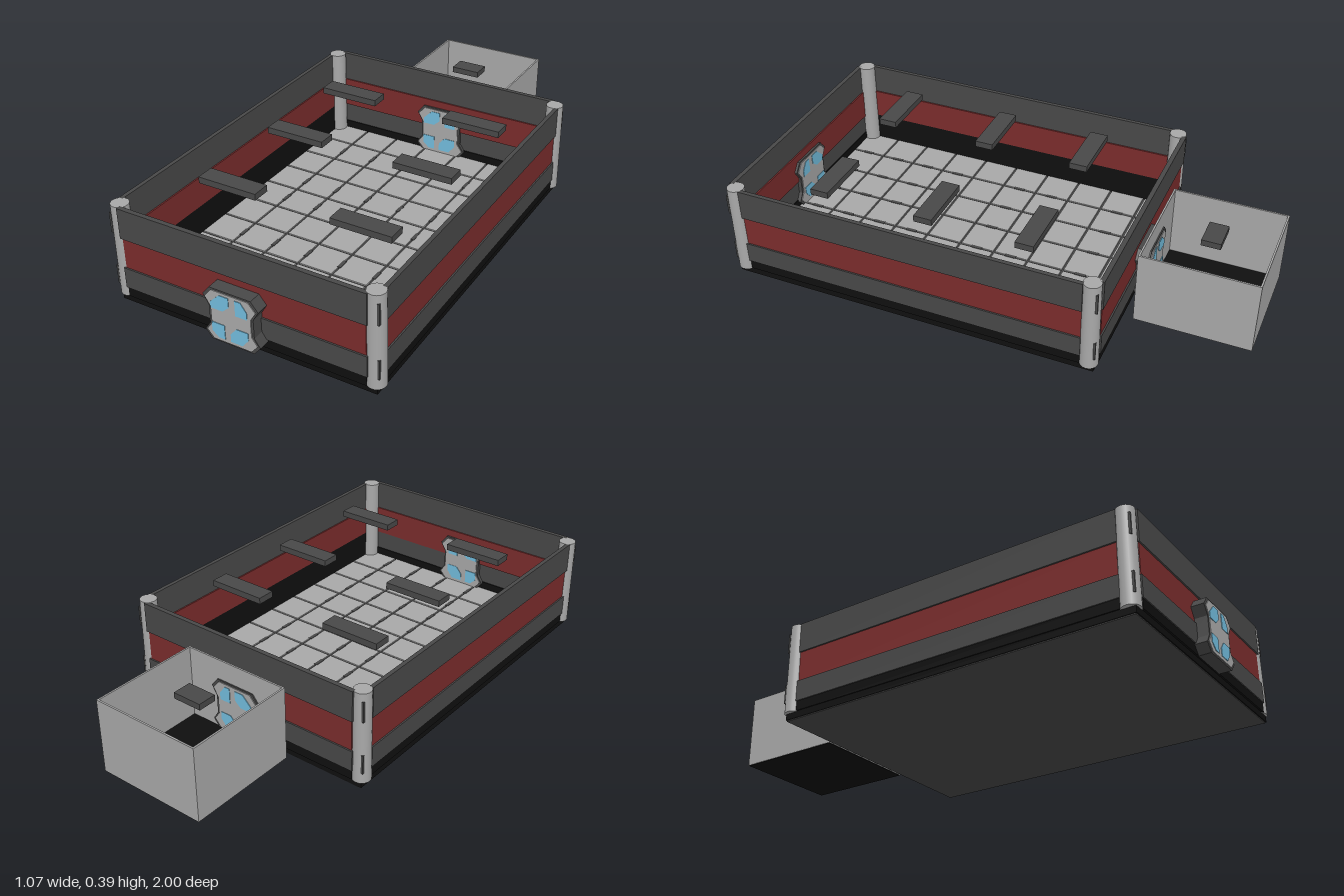
import * as THREE from 'three';

const mat = (name, color) => {
  const m = new THREE.MeshStandardMaterial({ color, side: THREE.DoubleSide });
  m.name = name;
  return m;
};

export function createModel() {
  const root = new THREE.Group();
  root.name = 'openRoom';
  const M = {
    light: mat('lightGrey', 0xa8a8a8),
    dark: mat('darkGrey', 0x484848),
    red: mat('deepRed', 0x7a2c2c),
    black: mat('black', 0x0f0f0f),
    blue: mat('glassBlue', 0x72bcdc),
  };

  // box given by its minimum and maximum on each axis
  const box = (name, m, x0, x1, y0, y1, z0, z1, parent = root) => {
    const mesh = new THREE.Mesh(new THREE.BoxGeometry(x1 - x0, y1 - y0, z1 - z0), m);
    mesh.position.set((x0 + x1) / 2, (y0 + y1) / 2, (z0 + z1) / 2);
    mesh.name = name;
    parent.add(mesh);
    return mesh;
  };
  const shapeOf = pts => new THREE.Shape(pts.map(p => new THREE.Vector2(p[0], p[1])));
  const plate = (name, m, shape, z0, z1, parent) => {
    const g = new THREE.ExtrudeGeometry(shape, { depth: z1 - z0, bevelEnabled: false });
    const mesh = new THREE.Mesh(g, m);
    mesh.position.z = z0;
    mesh.name = name;
    parent.add(mesh);
  };

  // base slab with a grey underside
  box('underside', M.dark, -0.512, 0.512, 0, 0.004, -0.508, 0.938);
  box('baseSlab', M.black, -0.515, 0.515, 0.004, 0.03, -0.51, 0.942);

  // floor tiles over a dark grout sheet
  const cols = 7, rows = 10, x0 = -0.507, zBack = -0.513, step = 0.1448, gap = 0.004;
  box('grout', M.dark, -0.507, 0.507, 0.03, 0.032, -0.508, 0.935);
  for (let i = 0; i < cols; i++) {
    for (let j = 0; j < rows; j++) {
      const x = x0 + i * step, z = zBack + j * step;
      box('floorTile', M.light, x + gap, x + step - gap, 0.032, 0.037, z + gap, z + step - gap);
      if (i > 0 && j > 0 && j !== 2 && j !== 5)
        box('tileClip', M.dark, x - 0.007, x + 0.007, 0.032, 0.039, z + 0.05, z + 0.095);
    }
  }

  // wall bands: base rim, lower, recessed red, upper
  const bands = [
    ['baseRim', M.black, 0.03, 0.068, 0.004],
    ['lowerBand', M.dark, 0.068, 0.15, 0],
    ['redBand', M.red, 0.15, 0.27, 0.006],
    ['upperBand', M.dark, 0.27, 0.39, 0],
  ];
  for (const [name, m, y0, y1, inset] of bands) {
    for (const s of [-1, 1]) {
      const a = s * (0.507 - inset), b = s * (0.523 - inset);
      box(name, m, Math.min(a, b), Math.max(a, b), y0, y1, -0.46, 0.893);
    }
    const w = 0.484 - inset;
    box(name, m, -w, w, y0, y1, 0.935 - inset, 0.953 - inset);
    box(name, m, -w, w, y0, y1, -0.524 + inset, -0.506 + inset);
  }
  // black lining on the inside of the long walls
  for (const s of [-1, 1]) {
    box('wallLining', M.black, s * 0.505 - 0.003, s * 0.505 + 0.003, 0.035, 0.15, -0.46, 0.893);
  }

  // corner posts with narrow slits
  for (const s of [-1, 1]) {
    for (const [z, d] of [[-0.487, -1], [0.917, 1]]) {
      const post = new THREE.Mesh(new THREE.CylinderGeometry(0.033, 0.035, 0.362, 24), M.light);
      post.position.set(s * 0.499, 0.209, z);
      post.name = 'cornerPost';
      root.add(post);
      for (const [y0, y1] of [[0.07, 0.145], [0.28, 0.36]]) {
        const c = z + d * 0.026, x = s * 0.521;
        box('postSlit', M.dark, x - 0.004, x + 0.004, y0, y1, c - 0.004, c + 0.004);
      }
    }
  }

  // hanging planks
  for (const z of [-0.2, 0.193, 0.618]) {
    box('plank', M.dark, -0.37, -0.13, 0.368, 0.393, z - 0.036, z + 0.036);
    box('plank', M.dark, 0.168, 0.404, 0.368, 0.393, z - 0.036, z + 0.036);
  }

  // doors: waisted frame, lighter panel and four windows on both faces
  const half = [[0.082, 0.24], [0.11, 0.205], [0.088, 0.168], [0.088, 0.095], [0.11, 0.062], [0.084, 0.03]];
  const outline = k => {
    const r = half.map(([x, y]) => [x - k, 0.135 + (y - 0.135) * (1 - k * 7)]);
    return shapeOf([...r, ...r.slice().reverse().map(([x, y]) => [-x, y])]);
  };
  const windows = [
    [[-0.078, 0.163], [-0.078, 0.186], [-0.041, 0.223], [-0.004, 0.223], [-0.004, 0.186], [-0.03, 0.163]],
    [[0.021, 0.223], [0.044, 0.223], [0.067, 0.191], [0.067, 0.163], [0.021, 0.163]],
    [[-0.078, 0.106], [-0.027, 0.106], [-0.027, 0.049], [-0.053, 0.049], [-0.078, 0.071]],
    [[-0.004, 0.049], [-0.004, 0.08], [0.021, 0.109], [0.067, 0.109], [0.067, 0.08], [0.042, 0.049]],
  ];
  const addDoor = (name, zMin, zMax) => {
    const door = new THREE.Group();
    door.name = name;
    root.add(door);
    plate('doorFrame', M.dark, outline(0), zMin + 0.005, zMax - 0.005, door);
    plate('doorPanel', M.light, outline(0.009), zMin + 0.002, zMax - 0.002, door);
    for (const w of windows) {
      for (const z of [zMin, zMax - 0.004]) plate('doorWindow', M.blue, shapeOf(w), z, z + 0.004, door);
    }
  };
  addDoor('frontDoor', 0.915, 1.0);
  addDoor('backDoor', -0.575, -0.488);

  // open annex box behind the back door
  const annex = new THREE.Group();
  annex.name = 'annex';
  root.add(annex);
  const t = 0.007;
  box('annexFloor', M.black, -0.222, 0.22, 0.025, 0.033, -0.999, -0.56, annex);
  box('annexSide', M.light, -0.224, -0.224 + t, 0.027, 0.32, -1, -0.558, annex);
  box('annexSide', M.light, 0.222 - t, 0.222, 0.027, 0.32, -1, -0.558, annex);
  box('annexBack', M.light, -0.224, 0.222, 0.027, 0.32, -1, -1 + t, annex);
  const wall = shapeOf([[-0.224, 0.027], [0.222, 0.027], [0.222, 0.32], [-0.224, 0.32]]);
  wall.holes.push(new THREE.Path(outline(0.004).getPoints()));
  plate('annexFront', M.light, wall, -0.558 - t, -0.558, annex);
  box('annexPlank', M.dark, -0.07, 0.048, 0.298, 0.322, -0.812, -0.738, annex);

  return root;
}
